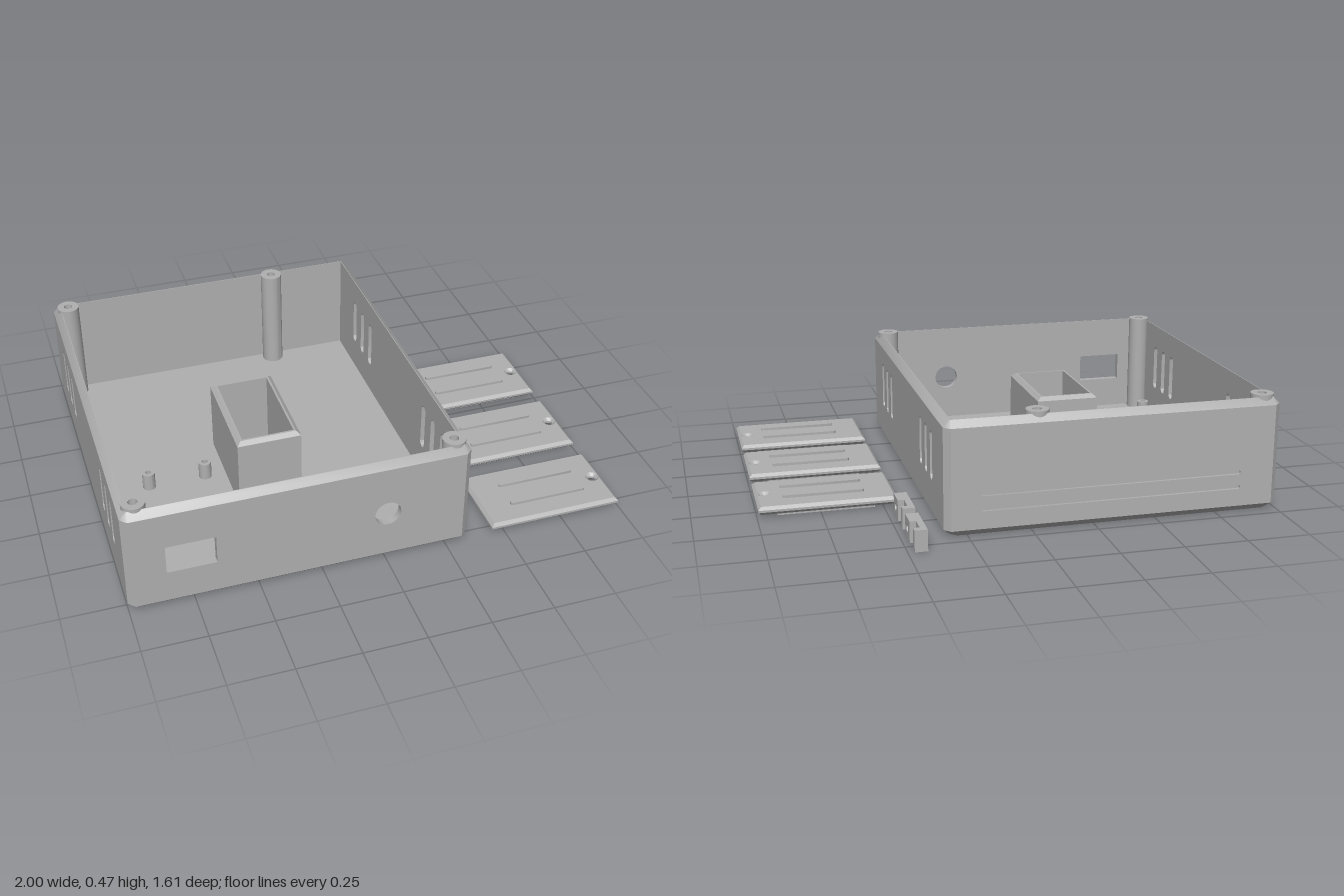
import * as THREE from 'three';
import { toCreasedNormals } from 'three/addons/utils/BufferGeometryUtils.js';

const grey = new THREE.MeshStandardMaterial({ color: 0xb0b0b0 });
grey.name = 'grey plastic';

// Enclosure measurements: centre, half sizes, chamfer, corner cut, wall
const CX = -0.33, CZ = 0.045, HW = 0.67, HD = 0.755;
const TOP = 0.455, C = 0.027, K = 0.025, T = 0.03;

const poly = (pts) => new THREE.Shape(pts.map(([x, y]) => new THREE.Vector2(x, y)));
const rect = (x0, x1, y0, y1) => poly([[x0, y0], [x1, y0], [x1, y1], [x0, y1]]);
const circle = (x, y, r) => new THREE.Shape().absarc(x, y, r, 0, Math.PI * 2, false);

// Rounded slot along either axis
function slot(x, y, w, h) {
  const r = Math.min(w, h) / 2, dx = w / 2 - r, dy = h / 2 - r;
  const s = new THREE.Shape();
  if (h > w) {
    s.absarc(x, y + dy, r, 0, Math.PI, false);
    s.absarc(x, y - dy, r, Math.PI, Math.PI * 2, false);
  } else {
    s.absarc(x + dx, y, r, -Math.PI / 2, Math.PI / 2, false);
    s.absarc(x - dx, y, r, Math.PI / 2, Math.PI * 1.5, false);
  }
  return s;
}

function octagon(hw, hd, k) {
  return poly([[-hw + k, -hd], [hw - k, -hd], [hw, -hd + k], [hw, hd - k],
    [hw - k, hd], [-hw + k, hd], [-hw, hd - k], [-hw, -hd + k]].map(([x, z]) => [x + CX, z + CZ]));
}

function solid(shape, holes, depth, options = {}) {
  shape.holes = holes;
  return new THREE.ExtrudeGeometry(shape, { depth, bevelEnabled: false, curveSegments: 12, ...options });
}

// Horizontal slab, drawn in x and z, between two heights
const slab = (shape, holes, y0, y1) => solid(shape, holes, y1 - y0).rotateX(Math.PI / 2).translate(0, y1, 0);

// Move the outer corners of a slab's layer by a rule
function reshape(geo, cx, cz, hw, hd, limit, y, rule) {
  const p = geo.attributes.position;
  for (let i = 0; i < p.count; i++) {
    const dx = p.getX(i) - cx, dz = p.getZ(i) - cz;
    const sum = hw - Math.abs(dx) + hd - Math.abs(dz);
    if (sum < limit && Math.abs(p.getY(i) - y) < 1e-4) {
      const [x, z] = rule(Math.abs(dx), Math.abs(dz));
      p.setXYZ(i, cx + Math.sign(dx) * x, y, cz + Math.sign(dz) * z);
    }
  }
  return geo;
}

export function createModel() {
  const model = new THREE.Group();
  model.name = 'enclosureKit';
  const add = (name, geo, parent = model) => {
    const mesh = new THREE.Mesh(toCreasedNormals(geo, 0.6), grey);
    mesh.name = name;
    parent.add(mesh);
    return mesh;
  };

  // Floor with chamfered underside and screw holes
  const posts = [[-0.94, -0.65], [-0.03, -0.65], [-0.94, 0.735], [0.285, 0.735]];
  const floor = slab(octagon(HW - C, HD - C, K), posts.map(([x, z]) => circle(x, z, 0.018)), 0, C);
  add('floor', reshape(floor, CX, CZ, HW, HD, 0.085, C, (x, z) => [x + C, z + C]));

  // Walls
  const y0 = C, y1 = TOP - C;
  const xWall = () => rect(CX - HW + K, CX + HW - K, y0, y1);
  const zWall = () => rect(CZ - HD + K, CZ + HD - K, y0, y1);
  add('frontWall', solid(xWall(), [rect(-0.85, -0.66, 0.16, 0.28), circle(0.005, 0.22, 0.052)], T))
    .position.z = CZ + HD - T;
  const grooves = [0.165, 0.105].map((y) => slot(-0.32, y, 1.04, 0.016));
  add('backWallGrooved', solid(xWall(), grooves, 0.012)).position.z = CZ - HD;
  add('backWall', solid(xWall(), [], T - 0.012)).position.z = CZ - HD + 0.012;
  for (const [name, x] of [['leftWall', CX + HW], ['rightWall', CX - HW + T]]) {
    const vents = [0.57, 0.47, 0.37, -0.27, -0.37, -0.47].map((z) => slot(z, 0.255, 0.04, 0.2));
    const wall = add(name, solid(zWall(), vents, T));
    wall.rotation.y = -Math.PI / 2;
    wall.position.x = x;
  }

  // Cut corners between the walls
  for (const sx of [-1, 1]) for (const sz of [-1, 1]) {
    const px = (d) => CX + sx * (HW - d), pz = (d) => CZ + sz * (HD - d);
    add('wallCorner', slab(poly([[px(0), pz(K)], [px(K), pz(0)], [px(T), pz(T)]]), [], y0, y1));
  }

  // Sloping top rim
  const inner = rect(CX - HW + T, CX + HW - T, CZ - HD + T, CZ + HD - T);
  const rim = slab(octagon(HW, HD, K), [inner], y1, TOP);
  add('rim', reshape(rim, CX, CZ, HW, HD, 0.04, TOP, () => [HW - C, HD - C]));

  // Screw posts and small standoffs
  for (const [x, z] of posts) add('screwPost', slab(circle(x, z, 0.045), [circle(x, z, 0.018)], C, 0.465));
  for (const [x, z] of [[-0.78, 0.125], [-0.545, 0.125], [-0.905, 0.55], [-0.5, 0.56]]) {
    add('standoff', slab(circle(x, z, 0.026), [circle(x, z, 0.012)], C, 0.1));
  }

  // Open compartment in the middle
  const bx = -0.33, bz = 0.14, bw = 0.13, bd = 0.217, bt = 0.025, bc = 0.017;
  const ring = (ya, yb) => slab(rect(bx - bw, bx + bw, bz - bd, bz + bd),
    [rect(bx - bw + bt, bx + bw - bt, bz - bd + bt, bz + bd - bt)], ya, yb);
  add('compartment', ring(C, 0.32));
  add('compartmentRim', reshape(ring(0.32, 0.335), bx, bz, bw, bd, 0.03, 0.335, () => [bw - bc, bd - bc]));

  // Three loose cover plates with ribs
  for (const z of [-0.168, 0.235, 0.64]) {
    const plate = new THREE.Group();
    plate.name = 'coverPlate';
    plate.position.z = z;
    model.add(plate);
    const b = 0.012;
    const holes = [circle(0.487, -0.1, 0.03), circle(0.487, 0.1, 0.03), circle(0.957, 0, 0.028)];
    const body = solid(rect(0.445 + b, 0.995 - b, -0.16 + b, 0.16 - b), holes, 0.009,
      { bevelEnabled: true, bevelSize: b, bevelThickness: b, bevelSegments: 1 });
    add('plateBody', body.rotateX(Math.PI / 2).translate(0, 0.033, 0), plate);
    add('plateTab', slab(rect(0.535, 0.92, -0.135, 0.135), [], 0, 0.014), plate);
    for (const s of [-1, 1]) add('plateRib', slab(slot(0.728, s * 0.06, 0.325, 0.02), [], 0.04, 0.056), plate);
  }

  // Two notched clips
  for (const z of [-0.81, -0.575]) {
    const clip = new THREE.Group();
    clip.name = 'clip';
    clip.rotation.y = -Math.PI / 2;
    clip.position.set(0.475, 0, z);
    model.add(clip);
    add('clipBlock', solid(rect(0.095, 0.18, 0, 0.085), [circle(0.143, 0.043, 0.016)], 0.05), clip);
    add('clipWeb', solid(rect(0.028, 0.095, 0, 0.085), [], 0.025), clip).position.z = 0.025;
    add('clipEnd', solid(rect(0, 0.028, 0, 0.085), [], 0.05), clip);
  }
  return model;
}
